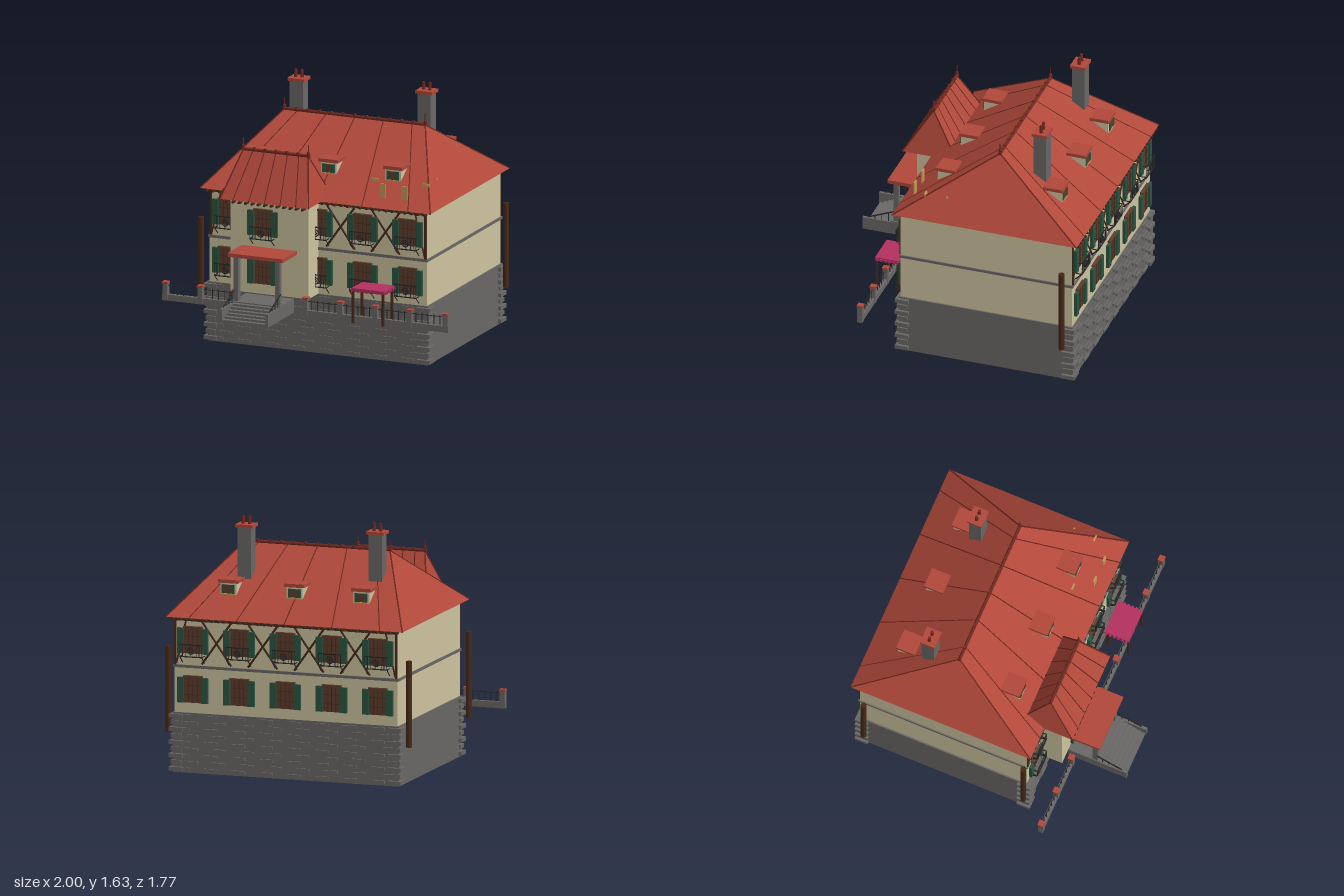
import * as THREE from 'three';

const mat = (name, color) => Object.assign(new THREE.MeshStandardMaterial({ color }), { name });
const M = {
  roof: mat('roof red', 0xb0483a), ridge: mat('dark ridge red', 0x72291f),
  wall: mat('cream plaster', 0xcfc4a0), stone: mat('grey stone', 0x6a6866),
  wood: mat('dark timber', 0x46291a), pane: mat('brown window', 0x5e3d2d),
  green: mat('shutter green', 0x2a5540), iron: mat('black iron', 0x29282a),
  pink: mat('awning pink', 0xb5305e), tan: mat('tan wood', 0xc79a58),
};

function add(parent, name, geo, m, x = 0, y = 0, z = 0) {
  const mesh = new THREE.Mesh(geo, m);
  mesh.name = name;
  mesh.position.set(x, y, z);
  parent.add(mesh);
  return mesh;
}
// box centred at x, y, z
const box = (p, name, m, w, h, d, x, y, z) => add(p, name, new THREE.BoxGeometry(w, h, d), m, x, y, z);
// box given by its limits
const span = (p, name, m, x0, x1, y0, y1, z0, z1) =>
  box(p, name, m, x1 - x0, y1 - y0, z1 - z0, (x0 + x1) / 2, (y0 + y1) / 2, (z0 + z1) / 2);
// thin rod between two points
function rod(p, name, m, a, b, r = 0.004, sides = 4) {
  const A = new THREE.Vector3(...a), B = new THREE.Vector3(...b), d = B.clone().sub(A);
  const mesh = add(p, name, new THREE.CylinderGeometry(r, r, d.length(), sides), m);
  mesh.position.copy(A.add(B).multiplyScalar(0.5));
  mesh.quaternion.setFromUnitVectors(new THREE.Vector3(0, 1, 0), d.normalize());
  return mesh;
}
function group(parent, name, x = 0, y = 0, z = 0) {
  const g = new THREE.Group();
  g.name = name;
  g.position.set(x, y, z);
  parent.add(g);
  return g;
}

// hipped roof with seams, ridge tiles, finials and rafter tails
function hipRoof(parent, name, { x0, x1, z0, z1, y0, y1, r0, r1, seamE, seamR, tailsBack }) {
  const g = group(parent, name), zr = (z0 + z1) / 2, cx = (x0 + x1) / 2;
  const geo = new THREE.BufferGeometry();
  geo.setAttribute('position', new THREE.Float32BufferAttribute(
    [x0, y0, z0, x1, y0, z0, x1, y0, z1, x0, y0, z1, r0, y1, zr, r1, y1, zr], 3));
  geo.setIndex([3, 2, 5, 3, 5, 4, 1, 0, 4, 1, 4, 5, 2, 1, 5, 0, 3, 4, 0, 1, 2, 0, 2, 3]);
  const flat = geo.toNonIndexed();
  flat.computeVertexNormals();
  add(g, 'roofSlopes', flat, M.roof);
  for (const z of [z0, z1]) {
    for (let i = -2; i <= 2; i++) rod(g, 'seam', M.ridge, [cx + seamE * i, y0, z], [cx + seamR * i, y1, zr], 0.0035);
    rod(g, 'hip', M.ridge, [x0, y0, z], [r0, y1, zr], 0.005);
    rod(g, 'hip', M.ridge, [x1, y0, z], [r1, y1, zr], 0.005);
  }
  rod(g, 'ridge', M.ridge, [r0 - 0.01, y1 + 0.004, zr], [r1 + 0.01, y1 + 0.004, zr], 0.011, 8);
  const n = Math.round((r1 - r0) / 0.08);
  for (let i = 0; i <= n; i++) box(g, 'ridgeKnob', M.ridge, 0.014, 0.012, 0.02, r0 + (r1 - r0) * i / n, y1 + 0.013, zr);
  for (const x of [r0, r1]) {
    rod(g, 'finial', M.ridge, [x, y1, zr], [x, y1 + 0.075, zr], 0.004, 6);
    add(g, 'finialBall', new THREE.SphereGeometry(0.01, 8, 6), M.ridge, x, y1 + 0.025, zr);
  }
  const k = Math.round((x1 - x0) / 0.045);
  for (let i = 1; i < k; i++) for (const z of tailsBack ? [z0 + 0.02, z1 - 0.02] : [z1 - 0.02])
    box(g, 'rafterTail', M.wood, 0.014, 0.014, 0.045, x0 + (x1 - x0) * i / k, y0 - 0.012, z);
}

// window with shutters, standing on the plane z = 0 of its parent
function shutterWindow(parent, x, y) {
  const g = group(parent, 'window', x, y, 0);
  box(g, 'pane', M.pane, 0.12, 0.165, 0.016, 0, 0, 0.004);
  box(g, 'lintel', M.pane, 0.13, 0.012, 0.03, 0, 0.088, 0.006);
  for (const dx of [-0.03, 0, 0.03]) box(g, 'mullion', M.wood, 0.004, 0.16, 0.004, dx, 0, 0.013);
  for (const dy of [-0.03, 0.03]) box(g, 'glazingBar', M.wood, 0.115, 0.004, 0.004, 0, dy, 0.013);
  for (const s of [-1, 1]) box(g, 'shutter', M.green, 0.045, 0.165, 0.02, s * 0.082, 0, 0.014);
}

// iron balcony with struts
function balcony(parent, x, y) {
  const g = group(parent, 'balcony', x, y, 0), d = 0.05, w = 0.075;
  for (const h of [0, 0.08]) {
    rod(g, 'rail', M.iron, [-w, h, d], [w, h, d], 0.004);
    for (const s of [-w, w]) rod(g, 'sideRail', M.iron, [s, h, 0], [s, h, d], 0.004);
  }
  for (let i = -4; i <= 4; i++) if (Math.abs(i) !== 1) rod(g, 'baluster', M.iron, [i * w / 4, 0, d], [i * w / 4, 0.08, d], 0.0025);
  add(g, 'rosette', new THREE.TorusGeometry(0.022, 0.004, 4, 12), M.iron, 0, 0.04, d);
  add(g, 'rosetteCentre', new THREE.TorusGeometry(0.01, 0.003, 4, 8), M.iron, 0, 0.04, d);
  for (const s of [-w, w]) rod(g, 'strut', M.iron, [s, -0.045, 0], [s, 0, d], 0.004);
}

// long facade: two rows of windows with timber framing above
function facade(parent, name, z, back) {
  const g = group(parent, name, 0, 0, z);
  if (back) g.rotation.y = Math.PI;
  for (let i = -2; i <= 2; i++) {
    if (!back && i === -1) continue;
    const x = i * 0.315;
    shutterWindow(g, x, 0.86);
    shutterWindow(g, x, 0.54);
    balcony(g, x, 0.762);
    if (!back) balcony(g, x, 0.447);
  }
  for (const x of [-0.4725, -0.1575, 0.1575, 0.4725]) for (const s of [-1, 1])
    rod(g, 'brace', M.wood, [x - s * 0.1, 0.71, 0.003], [x + s * 0.1, 0.99, 0.003], 0.007);
  for (const s of [-1, 1]) {
    box(g, 'cornerPost', M.wood, 0.014, 0.3, 0.014, s * 0.752, 0.85, 0.002);
    rod(g, 'cornerBrace', M.wood, [s * 0.745, 0.71, 0.003], [s * 0.68, 0.99, 0.003], 0.006);
  }
  box(g, 'topBeam', M.wood, 1.52, 0.016, 0.014, 0, 0.995, 0.002);
  // raised stones on the basement
  for (let r = 0; r < 9; r++) for (let c = 0; c < 8; c++)
    box(g, 'basementStone', M.stone, 0.09, 0.018, 0.012, -0.7 + c * 0.19 + (r % 2) * 0.06, 0.025 + r * 0.043, 0.012);
}

function dormer(parent, x, z, back) {
  const g = group(parent, 'dormer', x, 0, z);
  if (back) g.rotation.y = Math.PI;
  box(g, 'dormerBody', M.wall, 0.11, 0.14, 0.115, 0, 1.15, 0);
  box(g, 'dormerRoof', M.roof, 0.135, 0.022, 0.13, 0, 1.23, 0);
  box(g, 'dormerWindow', M.pane, 0.05, 0.055, 0.008, 0, 1.18, 0.058);
  for (const s of [-1, 1]) box(g, 'dormerShutter', M.green, 0.018, 0.058, 0.01, s * 0.034, 1.18, 0.06);
  box(g, 'dormerSill', M.tan, 0.09, 0.008, 0.012, 0, 1.148, 0.06);
}

function chimney(parent, x, z) {
  const g = group(parent, 'chimney', x, 0, z);
  span(g, 'shaft', M.stone, -0.046, 0.046, 1.15, 1.56, -0.042, 0.042);
  box(g, 'chimneyCap', M.roof, 0.118, 0.02, 0.102, 0, 1.57, 0);
  for (const s of [-1, 1]) add(g, 'chimneyPot', new THREE.CylinderGeometry(0.01, 0.012, 0.05, 8), M.ridge, s * 0.022, 1.605, 0);
}

function fence(parent, posts) {
  const g = group(parent, 'fence', 0, 0, 0.515), a = posts[0], b = posts[posts.length - 1];
  span(g, 'fenceWall', M.stone, a - 0.02, b + 0.02, 0.29, 0.33, -0.014, 0.014);
  rod(g, 'fenceRail', M.iron, [a, 0.388, 0], [b, 0.388, 0], 0.0025);
  posts.forEach((x, i) => {
    span(g, 'fencePost', M.stone, x - 0.017, x + 0.017, 0.29, 0.4, -0.017, 0.017);
    box(g, 'postCap', M.roof, 0.04, 0.014, 0.04, x, 0.407, 0);
    for (let k = 1; k < 6 && i + 1 < posts.length; k++) {
      const px = x + (posts[i + 1] - x) * k / 6;
      rod(g, 'picket', M.iron, [px, 0.33, 0], [px, 0.398, 0], 0.003);
    }
  });
}

export function createModel() {
  const root = new THREE.Group();
  root.name = 'house';

  // body
  span(root, 'basement', M.stone, -0.77, 0.77, 0, 0.39, -0.845, 0.33);
  span(root, 'mainWalls', M.wall, -0.76, 0.76, 0.39, 1.012, -0.84, 0.32);
  span(root, 'wingWalls', M.wall, -0.545, 0, 0.39, 1.012, 0.3, 0.473);
  span(root, 'stringCourse', M.stone, -0.768, 0.768, 0.682, 0.7, -0.848, 0.328);
  for (const x of [-0.745, 0.745]) for (const z of [-0.82, 0.305]) for (let i = 0; i < 9; i++) {
    const e = i % 2 ? 0.07 : 0.09;
    box(root, 'quoin', M.stone, e, 0.026, e, x, 0.023 + i * 0.043, z);
  }
  facade(root, 'frontFacade', 0.32, false);
  facade(root, 'backFacade', -0.84, true);
  const wing = group(root, 'wingFacade', 0, 0, 0.473);
  for (const y of [0.86, 0.54]) shutterWindow(wing, -0.315, y);
  balcony(wing, -0.315, 0.762);

  // roofs
  hipRoof(root, 'mainRoof', { x0: -0.808, x1: 0.803, z0: -0.885, z1: 0.365, y0: 1.012, y1: 1.417,
    r0: -0.495, r1: 0.49, seamE: 0.325, seamR: 0.2, tailsBack: true });
  hipRoof(root, 'wingRoof', { x0: -0.582, x1: 0.038, z0: 0.19, z1: 0.56, y0: 1.012, y1: 1.305,
    r0: -0.5, r1: -0.045, seamE: 0.11, seamR: 0.08, tailsBack: false });
  for (const x of [-0.455, 0, 0.45]) {
    dormer(root, x, 0.1, false);
    dormer(root, x, -0.625, true);
  }
  chimney(root, -0.485, -0.465);
  chimney(root, 0.39, -0.51);
  for (const x of [0.435, 0.585]) box(root, 'roofHatch', M.tan, 0.042, 0.09, 0.009, x, 1.11, 0.283);
  for (const x of [0.332, 0.69]) box(root, 'roofVent', M.tan, 0.044, 0.02, 0.009, x, 1.145, 0.175);
  box(root, 'roofPeg', M.tan, 0.01, 0.02, 0.009, 0.7, 1.145, 0.027);

  // porch and steps
  const porch = group(root, 'porch');
  span(porch, 'porchRoof', M.roof, -0.467, -0.08, 0.676, 0.7, 0.47, 0.7);
  for (const x of [-0.42, -0.13]) box(porch, 'porchColumn', M.stone, 0.032, 0.3, 0.032, x, 0.53, 0.655);
  span(porch, 'landing', M.stone, -0.44, -0.105, 0.29, 0.382, 0.47, 0.69);
  for (let i = 0; i < 6; i++) span(porch, 'step', M.stone, -0.425, -0.12, 0.29, 0.305 + i * 0.014, 0.69, 0.87 - i * 0.03);
  for (const x of [-0.433, -0.112]) {
    span(porch, 'stairSide', M.stone, x - 0.009, x + 0.009, 0.29, 0.375, 0.49, 0.878);
    rod(porch, 'handrail', M.iron, [x, 0.38, 0.84], [x, 0.455, 0.66], 0.005);
    for (let i = 1; i < 4; i++) rod(porch, 'handrailPost', M.iron, [x, 0.37, 0.84 - i * 0.045], [x, 0.38 + i * 0.019, 0.84 - i * 0.045], 0.003);
  }

  // garden fence and awning
  fence(root, [-0.98, -0.735, -0.49]);
  fence(root, [0, 0.243, 0.487, 0.73, 0.98]);
  const awning = group(root, 'awning');
  span(awning, 'awningTop', M.pink, 0.338, 0.566, 0.5, 0.522, 0.39, 0.56);
  for (const x of [0.347, 0.557]) for (const z of [0.41, 0.553]) span(awning, 'awningPost', M.wood, x - 0.007, x + 0.007, 0.29, 0.5, z - 0.007, z + 0.007);
  for (const x of [0.335, 0.569]) for (let i = 0; i < 6; i++) box(awning, 'awningFringe', M.pink, 0.014, 0.016, 0.014, x, 0.508, 0.405 + i * 0.028);

  // free-standing timber columns
  for (const [x, z] of [[0.82, -0.79], [-0.82, -0.79], [-0.82, 0.32]])
    add(root, 'timberColumn', new THREE.CylinderGeometry(0.02, 0.02, 0.56, 8), M.wood, x, 0.53, z);
  return root;
}
